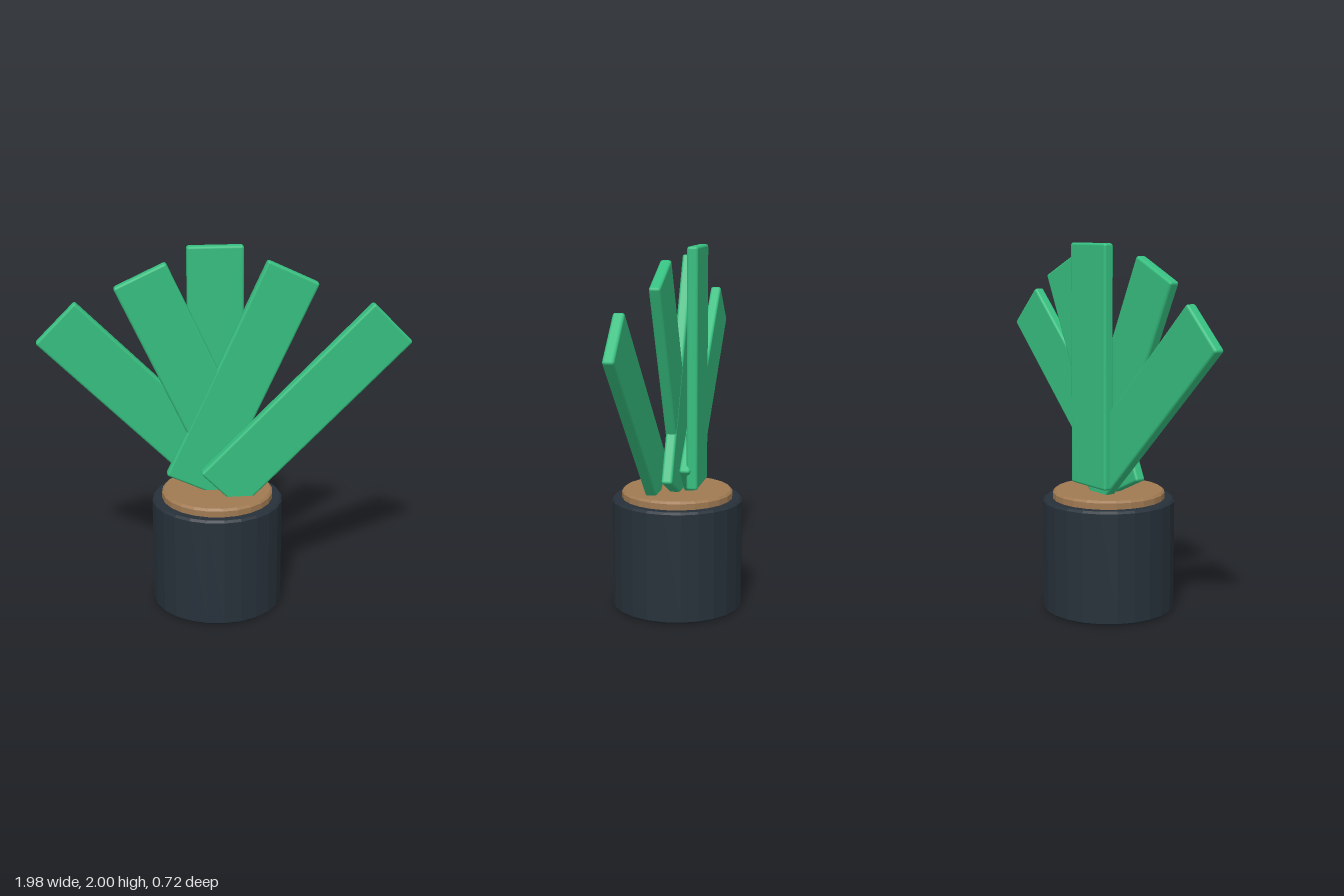
import * as THREE from 'three';
import { RoundedBoxGeometry } from 'three/addons/geometries/RoundedBoxGeometry.js';

const POT_X = -0.04;

// Solid disc or drum with a small bevel on both rims
function bevelledDrum(name, radius, y0, y1, bevel, material) {
  const profile = [
    [0, y0], [radius - bevel, y0], [radius, y0 + bevel],
    [radius, y1 - bevel], [radius - bevel, y1], [0, y1],
  ].map(([x, y]) => new THREE.Vector2(x, y));
  const mesh = new THREE.Mesh(new THREE.LatheGeometry(profile, 24), material);
  mesh.name = name;
  mesh.position.x = POT_X;
  return mesh;
}

export function createModel() {
  const model = new THREE.Group();
  model.name = 'pottedPlant';

  const potMat = new THREE.MeshStandardMaterial({ color: 0x27313a, flatShading: true });
  const soilMat = new THREE.MeshStandardMaterial({ color: 0xa07a52, flatShading: true });
  const leafMat = new THREE.MeshStandardMaterial({ color: 0x36be7f });

  // Pot and the soil disc on top of it
  model.add(bevelledDrum('pot', 0.361, 0, 0.62, 0.012, potMat));
  model.add(bevelledDrum('soil', 0.307, 0.6, 0.665, 0.012, soilMat));

  // Flat leaves fanned out: name, centre x, y, z and tilt in degrees
  const leafGeometry = new RoundedBoxGeometry(0.305, 1.305, 0.06, 2, 0.014);
  const leaves = [
    ['backLeaf', -0.037, 1.348, -0.112, 0],
    ['outerRightLeaf', -0.432, 1.155, -0.075, 45],
    ['innerRightLeaf', -0.17, 1.285, -0.001, 25],
    ['innerLeftLeaf', 0.092, 1.285, 0.001, -25],
    ['outerLeftLeaf', 0.426, 1.155, 0.108, -45],
  ];
  for (const [name, x, y, z, tilt] of leaves) {
    const leaf = new THREE.Mesh(leafGeometry, leafMat);
    leaf.name = name;
    leaf.position.set(x, y, z);
    leaf.rotation.z = THREE.MathUtils.degToRad(tilt);
    model.add(leaf);
  }

  return model;
}
